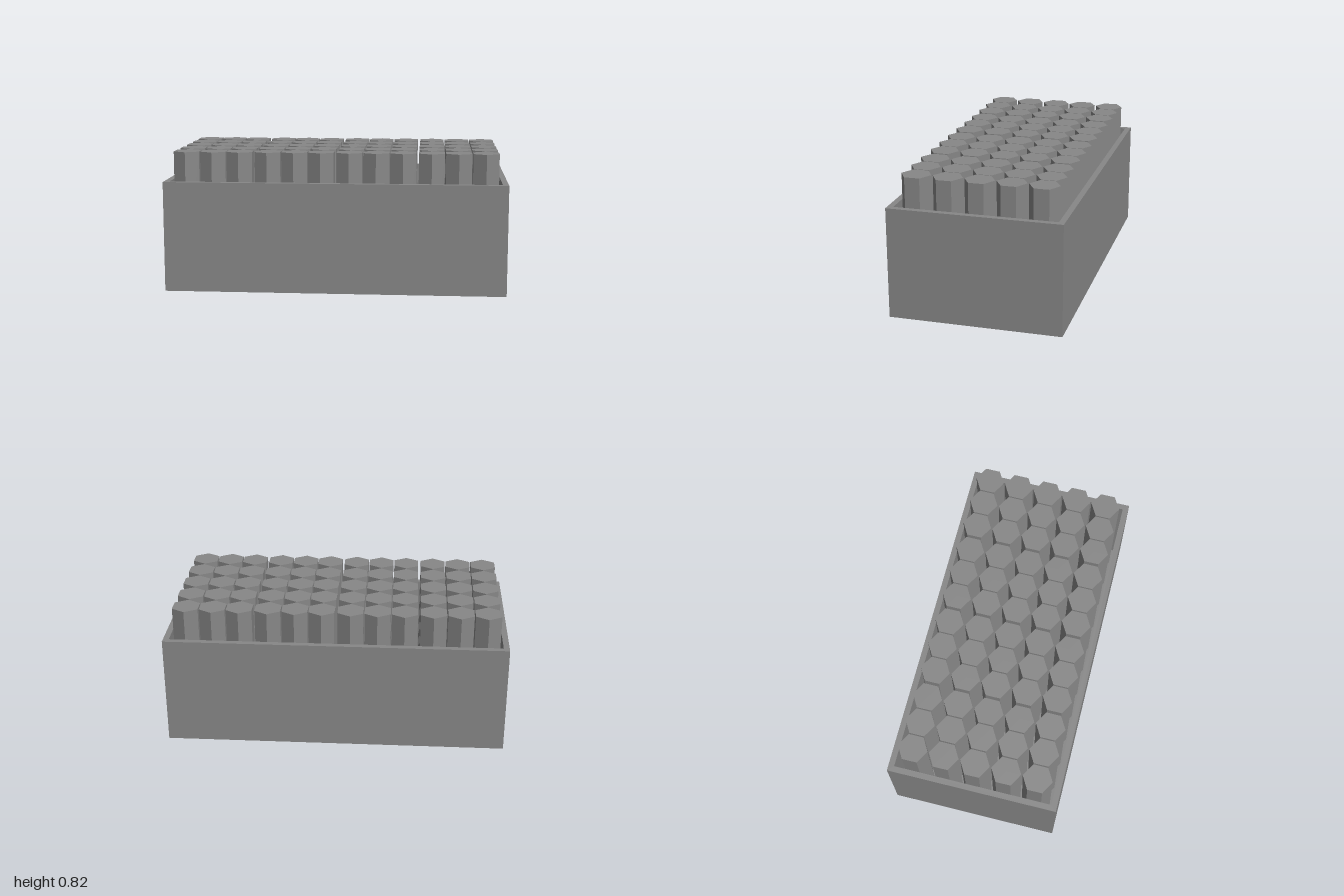
import * as THREE from 'three';

const material = new THREE.MeshStandardMaterial({ color: 0x878787, flatShading: true });

function rectangle(PathType, halfX, halfZ) {
  return new PathType([
    new THREE.Vector2(-halfX, -halfZ), new THREE.Vector2(halfX, -halfZ),
    new THREE.Vector2(halfX, halfZ), new THREE.Vector2(-halfX, halfZ),
  ]);
}

export function createModel() {
  const group = new THREE.Group();
  const add = (name, geometry, parent = group) => {
    const mesh = new THREE.Mesh(geometry, material);
    mesh.name = name;
    parent.add(mesh);
    return mesh;
  };

  // Open tray: four walls and a thin floor
  const wallHeight = 0.648, wall = 0.034, floor = 0.034;
  const outline = rectangle(THREE.Shape, 1, 0.5);
  outline.holes.push(rectangle(THREE.Path, 1 - wall, 0.5 - wall));
  const walls = new THREE.ExtrudeGeometry(outline, { depth: wallHeight, bevelEnabled: false });
  walls.rotateX(-Math.PI / 2);
  add('boxWalls', walls);
  add('boxFloor', new THREE.BoxGeometry(2 - 2 * wall, floor, 1 - 2 * wall).translate(0, floor / 2, 0));

  // Hexagonal rods standing on the floor, points towards front and back
  const top = 0.817, radius = 0.0865;
  const rod = new THREE.CylinderGeometry(radius, radius, top - floor, 6);
  rod.translate(0, (top + floor) / 2, 0);
  const rods = new THREE.Group();
  rods.name = 'rods';
  group.add(rods);
  for (let row = 0; row < 5; row++) {
    for (let column = 0; column < 12; column++) {
      // Columns sit in threes with a slightly wider gap after each set
      const x = -0.877 + (column % 3) * 0.1565 + Math.floor(column / 3) * 0.479;
      add('rod', rod, rods).position.set(x, 0, (row - 2) * 0.1815 - 0.002);
    }
  }
  return group;
}
